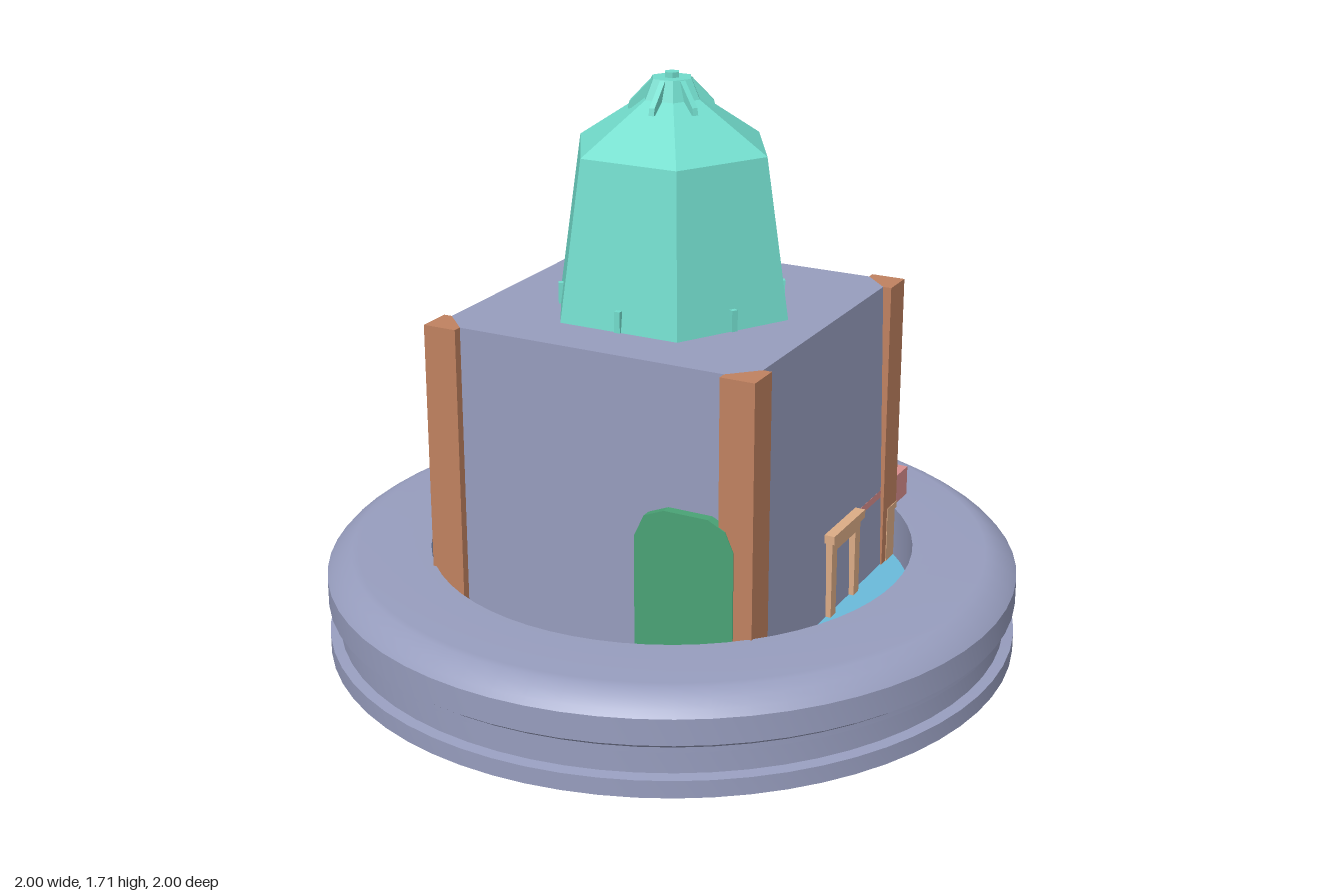
import * as THREE from 'three';
import { toCreasedNormals } from 'three/addons/utils/BufferGeometryUtils.js';

const mat = (name, color) => {
  const m = new THREE.MeshStandardMaterial({ color });
  m.name = name;
  return m;
};

export function createModel() {
  const slate = mat('slate', 0x979dbe);
  const teal = mat('teal', 0x72dccc);
  const wood = mat('brown wood', 0xc08260);
  const tan = mat('tan wood', 0xdcac86);
  const pink = mat('pink', 0xd98e8e);
  const green = mat('green', 0x4aa376);
  const water = mat('water blue', 0x6abadb);
  const model = new THREE.Group();
  const floorY = 0.18;

  const add = (name, geometry, material, parent = model) => {
    const mesh = new THREE.Mesh(geometry, material);
    mesh.name = name;
    parent.add(mesh);
    return mesh;
  };
  // box from its minimum and maximum corners
  const box = (name, material, [x0, y0, z0], [x1, y1, z1], parent) => {
    const g = new THREE.BoxGeometry(x1 - x0, y1 - y0, z1 - z0);
    g.translate((x0 + x1) / 2, (y0 + y1) / 2, (z0 + z1) / 2);
    return add(name, g, material, parent);
  };
  const extrude = (points, depth) => new THREE.ExtrudeGeometry(
    new THREE.Shape(points.map(([x, y]) => new THREE.Vector2(x, y))),
    { depth, bevelEnabled: false });
  // extrude an (x, z) outline upwards from y0 to y1
  const prism = (points, y0, y1) =>
    extrude(points.map(([x, z]) => [x, -z]), y1 - y0).rotateX(-Math.PI / 2).translate(0, y0, 0);
  const lathe = (points, sides) =>
    new THREE.LatheGeometry(points.map(([r, y]) => new THREE.Vector2(r, y)), sides);

  // round base with a grooved rim and a sunken pool
  const rim = lathe([
    [0, 0.05], [1, 0.05], [1, 0.1], [0.97, 0.105], [0.97, 0.165], [0.98, 0.17],
    [0.98, 0.185], [1, 0.2], [1, 0.275], [0.985, 0.292], [0.96, 0.31],
    [0.93, 0.328], [0.91, 0.33], [0.7, 0.33], [0.7, floorY]], 64);
  add('base', toCreasedNormals(rim, 0.6), slate);
  const pool = new THREE.CircleGeometry(0.7, 64).rotateX(-Math.PI / 2).translate(0, floorY, 0);
  add('pool', pool, water);

  // house body with cut corners; its right wall leans out towards the floor
  const a = 0.4, b = 0.475, c = 0.5;
  const body = prism([[a, b], [b, a], [b, -a], [a, -b], [-a, -b], [-b, -a], [-b, a], [-a, b]], floorY, 1.05);
  const p = body.attributes.position;
  for (let i = 0; i < p.count; i++) {
    if (p.getX(i) > 0.47 && p.getY(i) < 0.5) p.setX(i, 0.495);
  }
  body.computeVertexNormals();
  add('house', body, slate);

  // corner posts
  for (let i = 0; i < 4; i++) {
    const post = prism([[c, c], [c, a], [b, a], [a, b], [a, c]], floorY, 1.05);
    add('cornerPost', post, wood).rotation.y = i * Math.PI / 2;
  }

  // arched doors, front and back
  const door = [[0.15, floorY], [0.445, floorY], [0.445, 0.57], [0.42, 0.625], [0.37, 0.65],
    [0.24, 0.65], [0.18, 0.625], [0.15, 0.56]];
  add('frontDoor', extrude(door, 0.03).translate(0, 0, 0.473), green);
  add('backDoor', extrude(door, 0.03).translate(0, 0, -0.503), green);

  // six-sided tower
  const tower = new THREE.Group();
  tower.name = 'tower';
  model.add(tower);
  const shell = lathe([[0.36, 1.05], [0.29, 1.5], [0.085, 1.635], [0.06, 1.69], [0.022, 1.69],
    [0.022, 1.705], [0, 1.705]], 6).rotateY(Math.PI / 2);
  add('towerShell', toCreasedNormals(shell, 0.05), teal, tower);
  for (let i = 0; i < 6; i++) {
    const side = new THREE.Group();
    side.name = 'towerTrim';
    side.rotation.y = i * Math.PI / 3;
    tower.add(side);
    box('tab', teal, [-0.009, 1.05, 0.29], [0.009, 1.11, 0.318], side);
    // small pointed fin below the cap
    const fin = extrude([[0.04, 1.61], [0.12, 1.605], [0.115, 1.625], [0.055, 1.688]], 0.016)
      .translate(0, 0, -0.008).rotateY(-Math.PI / 2);
    add('fin', fin, teal, side);
  }

  // bench with a leaning back behind the house
  const bench = new THREE.Group();
  bench.name = 'bench';
  model.add(bench);
  const seat = extrude([[0.61, floorY], [0.61, 0.42], [0.25, 0.42], [0.22, 0.395], [0.22, floorY]], 0.49);
  add('benchSeat', seat.rotateY(Math.PI / 2), pink, bench);
  // back panel with cut upper corners, sheared backwards with height
  const back = extrude([[0.05, 0.34], [0.435, 0.34], [0.435, 0.62], [0.395, 0.68],
    [0.095, 0.68], [0.05, 0.62]], 0.08).translate(0, 0, -0.59);
  const bp = back.attributes.position;
  for (let i = 0; i < bp.count; i++) {
    bp.setZ(i, bp.getZ(i) - 0.26 * (Math.min(bp.getY(i), 0.65) - 0.34));
  }
  back.computeVertexNormals();
  add('benchBack', back, pink, bench);

  // small table beside the right wall
  const table = new THREE.Group();
  table.name = 'sideTable';
  model.add(table);
  box('tableTop', tan, [0.46, 0.412, -0.21], [0.52, 0.437, 0.01], table);
  box('tableApron', tan, [0.465, 0.38, -0.2], [0.51, 0.412, 0], table);
  for (const z of [-0.2, -0.035]) {
    box('tableLeg', tan, [0.465, floorY, z], [0.51, 0.38, z + 0.035], table);
  }

  // low fence along the back, its feet reaching below the base
  const fence = new THREE.Group();
  fence.name = 'backFence';
  model.add(fence);
  for (const s of [-1, 1]) {
    const outer = box('fenceEnd', tan, [-0.07, 0, -0.502], [0.072, 0.35, -0.43], fence);
    outer.position.x = s * 0.43;
    const inner = box('fenceStake', tan, [-0.04, 0, -0.502], [0.04, 0.33, -0.43], fence);
    inner.position.x = s * 0.2;
  }
  box('fenceRail', tan, [-0.5, 0.25, -0.53], [0.45, 0.3, -0.5], fence);
  box('footRail', tan, [-0.17, 0.025, -0.49], [0.17, 0.06, -0.45], fence);

  // flat star-like foot under the base
  const foot = prism([[0.2, 0.31], [0.08, 0.36], [0.01, 0.29], [-0.11, 0.335], [-0.18, 0.16],
    [-0.25, 0.01], [-0.16, -0.11], [-0.14, -0.35], [-0.02, -0.35], [-0.03, -0.24], [0.1, -0.28],
    [0.17, -0.34], [0.24, -0.24], [0.17, -0.18], [0.2, -0.07], [0.13, 0.02], [0.16, 0.13]], 0, 0.06);
  add('baseFoot', foot, tan);

  return model;
}
